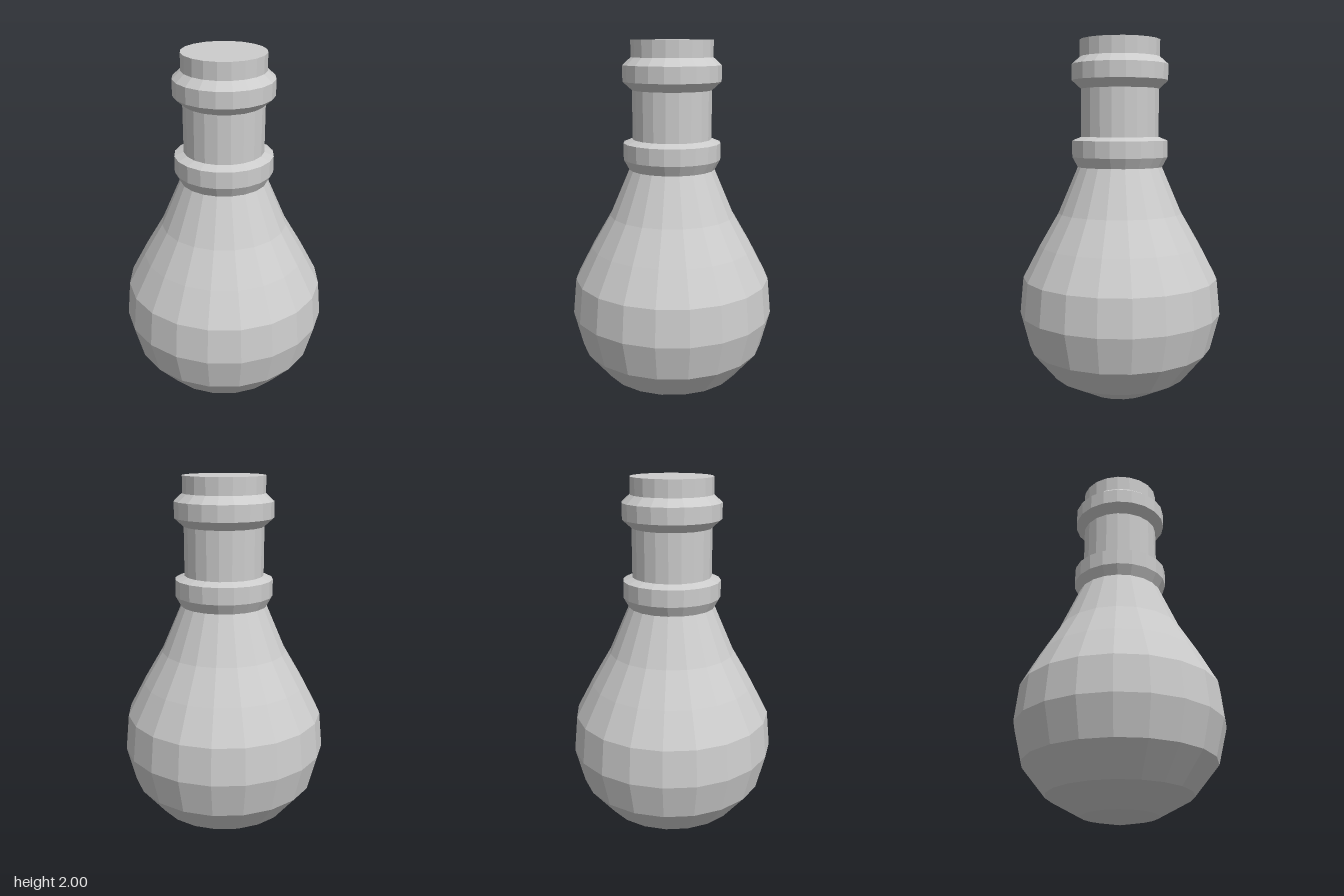
import * as THREE from 'three';

const SIDES = 20;

export function createModel() {
  const group = new THREE.Group();
  const grey = new THREE.MeshStandardMaterial({ color: 0xcccccc });
  grey.name = 'lightGrey';
  grey.flatShading = true;

  // Faceted solid of revolution from [radius, height] pairs, bottom to top
  const turn = (name, profile) => {
    const points = profile.map(([r, y]) => new THREE.Vector2(r, y));
    const mesh = new THREE.Mesh(new THREE.LatheGeometry(points, SIDES), grey);
    mesh.name = name;
    group.add(mesh);
  };

  // Pear-shaped body with a shallow pointed base
  turn('bulb', [
    [0, 0], [0.2, 0.04], [0.385, 0.14], [0.515, 0.3], [0.565, 0.5],
    [0.545, 0.7], [0.45, 0.88], [0.345, 1.06], [0.235, 1.315],
  ]);

  // Bevelled ring at the foot of the neck
  turn('lowerCollar', [[0.235, 1.315], [0.265, 1.37], [0.265, 1.46], [0.215, 1.48]]);

  turn('neck', [[0.215, 1.48], [0.215, 1.74]]);

  // Bevelled ring below the mouth
  turn('upperCollar', [[0.215, 1.74], [0.265, 1.785], [0.265, 1.87], [0.22, 1.91]]);

  // Short closed mouth
  turn('stopper', [[0.22, 1.91], [0.22, 2], [0, 2]]);

  return group;
}
